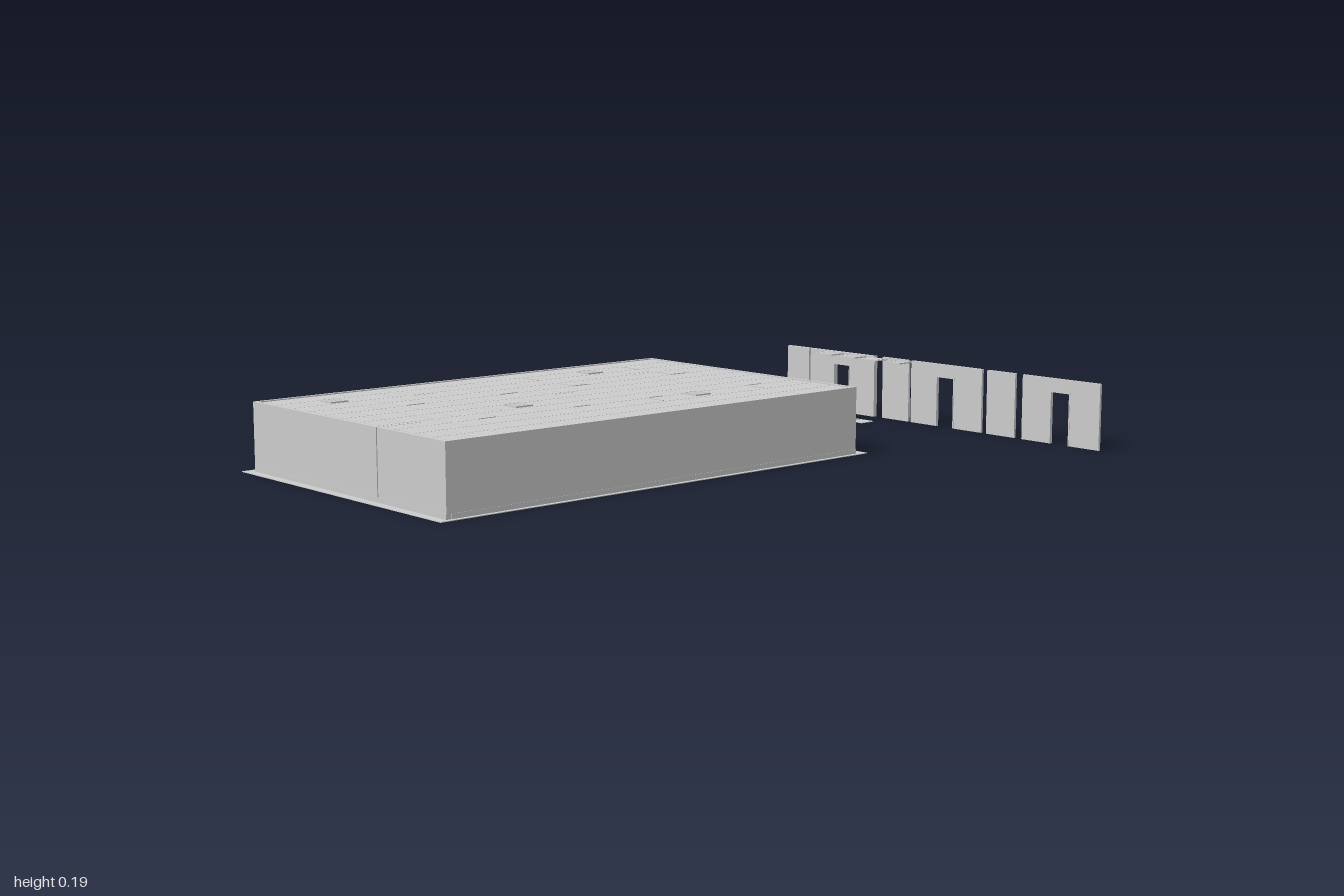
import * as THREE from 'three';

const H = 0.192; // wall height

export function createModel() {
  const model = new THREE.Group();
  const mat = new THREE.MeshStandardMaterial({ color: 0xcccccc, side: THREE.DoubleSide });

  const add = (name, geo, parent = model) => {
    const mesh = new THREE.Mesh(geo, mat);
    mesh.name = name;
    parent.add(mesh);
    return mesh;
  };
  // Box given by its limits on each axis
  const box = (name, x0, x1, y0, y1, z0, z1, parent) =>
    add(name, new THREE.BoxGeometry(x1 - x0, y1 - y0, z1 - z0)
      .translate((x0 + x1) / 2, (y0 + y1) / 2, (z0 + z1) / 2), parent);
  // Wall along x with an optional doorway
  const wall = (name, x0, x1, z0, z1, door, parent) => {
    const p = [[x0, 0]];
    if (door) p.push([door[0], 0], [door[0], 0.155], [door[1], 0.155], [door[1], 0]);
    p.push([x1, 0], [x1, H], [x0, H]);
    const shape = new THREE.Shape(p.map(([x, y]) => new THREE.Vector2(x, y)));
    const geo = new THREE.ExtrudeGeometry(shape, { depth: z1 - z0, bevelEnabled: false });
    return add(name, geo.translate(0, 0, z0), parent);
  };
  const doorFrame = (x0, x1, z0, z1, parent) => {
    const t = 0.004;
    box('doorJamb', x0, x0 + t, 0, 0.155, z0, z1, parent);
    box('doorJamb', x1 - t, x1, 0, 0.155, z0, z1, parent);
    box('doorHead', x0, x1, 0.151, 0.155, z0, z1, parent);
  };
  // Square ceiling grille: frame plus louvres
  const grille = (cx, cz, sx, sz) => {
    const g = new THREE.Group();
    g.name = 'ceilingGrille';
    model.add(g);
    const [x0, x1, z0, z1] = [cx - sx / 2, cx + sx / 2, cz - sz / 2, cz + sz / 2];
    const [y0, y1, t] = [0.189, 0.193, 0.003];
    for (const z of [z0, z1 - t]) box('grilleFrame', x0, x1, y0, y1, z, z + t, g);
    for (const x of [x0, x1 - t]) box('grilleFrame', x, x + t, y0, y1, z0, z1, g);
    const n = 14;
    for (let i = 1; i < n; i++) {
      const z = z0 + (sz * i) / n;
      box('louvre', x0 + t, x1 - t, y0 + 0.001, y1 - 0.0005, z - 0.001, z + 0.001, g);
    }
    box('grilleBack', x0, x1, y0, y0 + 0.0008, z0, z1, g);
  };

  // Floor slab
  box('floor', -0.665, 0.253, 0, 0.002, -0.47, 1);

  // Outer walls, with a joint in the front and a doorway in the back
  const [L, R, B, F, T] = [-0.638, 0.241, -0.435, 0.975, 0.01];
  box('leftSideWall', R - T, R, 0, H, B, F);
  box('rightSideWall', L, L + T, 0, H, B, F);
  wall('frontWall', L + T, -0.052, F - T, F);
  wall('frontWall', -0.048, R - T, F - T, F);
  wall('backWall', L + T, R - T, B, B + T, [-0.52, -0.45]);
  doorFrame(-0.52, -0.45, B - 0.001, B + T + 0.001);

  // Skirting just proud of the long walls and front
  for (const x of [L, R]) box('skirting', x - 0.001, x + 0.001, 0.002, 0.015, B, F - 0.015);
  box('skirting', L, R, 0.002, 0.015, F - 0.001, F + 0.001);

  // Partitions along x [z, from, to] and along z [x, from, to]
  const W = 0.003;
  for (const [z, a, b] of [[-0.145, -0.415, 0], [0.28, -0.4, -0.07], [0.58, -0.628, 0.231],
    [0.775, -0.4, 0.231], [0.895, -0.628, 0.231]])
    box('partition', a, b, 0, 0.1895, z - W, z + W);
  for (const [x, a, b] of [[-0.415, -0.235, -0.145], [-0.225, 0.2, 0.28], [-0.465, 0.5, 0.58],
    [-0.06, 0.83, 0.965]])
    box('partition', x - W, x + W, 0, 0.1895, a, b);

  // Ceiling with a grid of tiles
  const [cx0, cx1, cz0, cz1, step] = [-0.628, 0.231, -0.425, 0.965, 0.079];
  box('ceiling', cx0, cx1, 0.184, 0.1875, cz0, cz1);
  for (let i = -8; i < 3; i++) {
    for (let k = -3; k < 16; k++) {
      const z = -0.235 + k * step;
      const x0 = Math.max(i * step, cx0), x1 = Math.min((i + 1) * step, cx1);
      const z0 = Math.max(z, cz0), z1 = Math.min(z + step, cz1);
      if (z1 - z0 > 0.01)
        box('ceilingTile', x0 + 0.001, x1 - 0.001, 0.1875, 0.189, z0 + 0.001, z1 - 0.001);
    }
  }
  // Short ceiling trims
  const strip = (x0, x1, z0, z1) => box('ceilingTrim', x0, x1, 0.187, 0.191, z0, z1);
  for (const z of [-0.238, 0.135]) {
    for (const [a, b] of [[-0.545, -0.475], [-0.39, -0.318], [0, 0.07]]) strip(a, b, z - 0.002, z + 0.002);
  }
  for (const z of [-0.238, 0.135, 0.39, 0.7])
    for (const x of [-0.318, 0]) strip(x - 0.002, x + 0.002, z - 0.055, z);

  // Grilles in the ceiling and spare ones behind the building
  for (const [x, z] of [[-0.51, -0.083], [0.033, -0.018], [-0.118, 0.483], [-0.51, 0.803]])
    grille(x, z, 0.056, 0.056);
  grille(-0.355, -0.935, 0.075, 0.055);
  grille(-0.257, -0.935, 0.075, 0.055);
  grille(-0.055, -0.935, 0.054, 0.054);

  // Spare light panel and floor tiles
  box('lightPanel', -0.192, -0.127, 0.189, 0.192, -0.962, -0.908);
  box('lightDiffuser', -0.187, -0.132, 0.192, 0.193, -0.957, -0.913);
  for (const x of [-0.252, -0.19]) box('floorTile', x, x + 0.053, 0, 0.002, -0.912, -0.86);

  // Spare wall panels in a row: [start, end, half thickness]
  for (const [a, b, front] of [[-0.59, -0.492, -0.985], [-0.485, -0.205, -0.985],
    [-0.175, -0.065, -0.991], [-0.055, 0.228, -0.991], [0.248, 0.355, -0.991], [0.383, 0.663, -0.991]]) {
    const g = new THREE.Group();
    g.name = 'sparePanel';
    model.add(g);
    const door = b - a > 0.2 ? [a + 0.102, a + 0.175] : null;
    wall('panel', a, b, -0.999, front, door, g);
    if (door) doorFrame(door[0], door[1], -1, front + 0.001, g);
  }

  // Three low thin panels standing in front of the row
  for (let i = 0; i < 3; i++) {
    const x = -0.5 + i * 0.068;
    add('lowPanel', new THREE.PlaneGeometry(0.064, 0.05).translate(x + 0.032, 0.025, -0.91));
  }
  return model;
}
